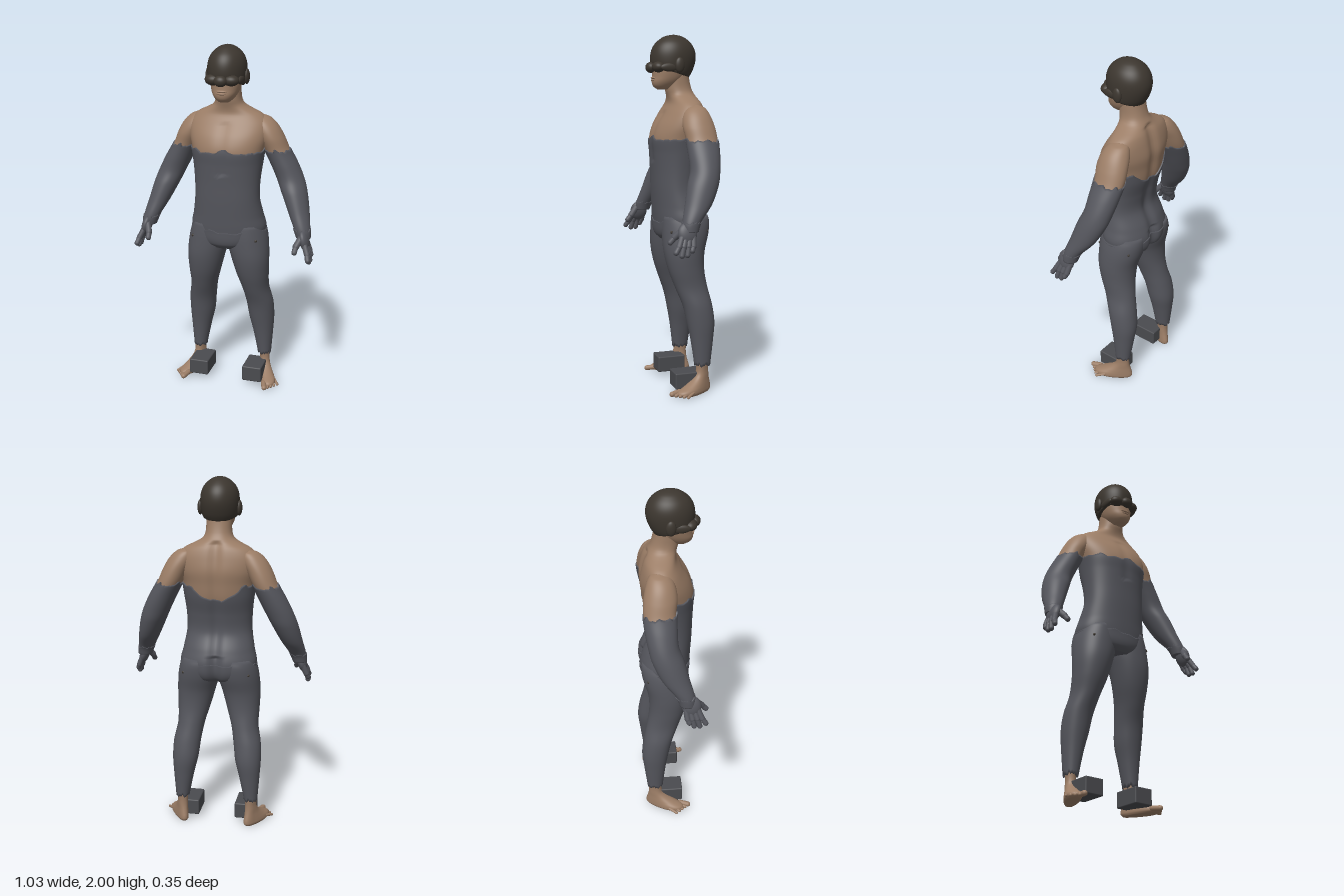
import * as THREE from 'three';
import { RoundedBoxGeometry } from 'three/addons/geometries/RoundedBoxGeometry.js';

const mat = (color) => new THREE.MeshStandardMaterial({ color, roughness: 0.85 });
const skin = mat(0x9b7d66), suit = mat(0x55565d), dark = mat(0x3c362f), iron = mat(0x4a4b4f);

// Horizontal cross-sections: [y, xMin, xMax, zBack, zFront]
const sym = (rows) => rows.map(([y, w, b, f]) => [y, -w, w, b, f]);
const TORSO = sym([
  [0.85, 0.06, -0.09, 0.06], [0.89, 0.17, -0.15, 0.096], [0.97, 0.21, -0.17, 0.106],
  [1.05, 0.196, -0.152, 0.112], [1.15, 0.18, -0.112, 0.118], [1.25, 0.181, -0.122, 0.121],
  [1.35, 0.192, -0.15, 0.126], [1.43, 0.205, -0.16, 0.13], [1.5, 0.222, -0.167, 0.108],
  [1.57, 0.222, -0.156, 0.066], [1.62, 0.185, -0.142, 0.037], [1.645, 0.135, -0.13, 0.035],
  [1.67, 0.09, -0.116, 0.04], [1.7, 0.074, -0.1, 0.048], [1.76, 0.07, -0.085, 0.05], [1.82, 0.07, -0.08, 0.05]]);
const ARM = [
  [0.96, 0.425, 0.485, 0.025, 0.09], [1.01, 0.405, 0.483, 0.004, 0.09], [1.1, 0.357, 0.465, -0.07, 0.065],
  [1.2, 0.308, 0.442, -0.12, 0.038], [1.27, 0.275, 0.418, -0.138, 0.013], [1.35, 0.236, 0.38, -0.152, 0.01],
  [1.43, 0.195, 0.335, -0.16, 0.013], [1.5, 0.16, 0.305, -0.155, 0.022], [1.56, 0.13, 0.27, -0.14, 0.012],
  [1.6, 0.13, 0.228, -0.118, -0.015], [1.615, 0.15, 0.19, -0.09, -0.05]];
const LEG = [
  [0.12, 0.168, 0.236, -0.145, -0.062], [0.16, 0.165, 0.238, -0.147, -0.06], [0.3, 0.137, 0.248, -0.164, -0.042],
  [0.4, 0.113, 0.254, -0.174, -0.023], [0.5, 0.1, 0.25, -0.162, 0], [0.6, 0.082, 0.231, -0.14, 0.038],
  [0.7, 0.052, 0.233, -0.125, 0.073], [0.8, 0.024, 0.236, -0.13, 0.094], [0.9, -0.003, 0.228, -0.158, 0.098],
  [0.97, 0.004, 0.212, -0.165, 0.095], [1.02, 0.02, 0.19, -0.15, 0.09]];
const HEAD = sym([
  [1.7, 0.03, 0.03, 0.095], [1.715, 0.048, -0.01, 0.117], [1.74, 0.066, -0.04, 0.126],
  [1.77, 0.078, -0.065, 0.123], [1.81, 0.086, -0.085, 0.122], [1.87, 0.088, -0.09, 0.12]]);
const CAP = sym([
  [1.76, 0.086, -0.08, 0.118], [1.8, 0.1, -0.104, 0.126], [1.86, 0.107, -0.123, 0.135], [1.91, 0.103, -0.12, 0.129],
  [1.95, 0.086, -0.1, 0.108], [1.98, 0.056, -0.067, 0.073], [1.994, 0.03, -0.037, 0.043], [2, 0.004, -0.004, 0.006]]);
const FOOT = sym([
  [0, 0.036, -0.042, 0.16], [0.012, 0.043, -0.054, 0.178], [0.03, 0.043, -0.055, 0.17], [0.05, 0.04, -0.05, 0.125],
  [0.075, 0.036, -0.043, 0.078], [0.1, 0.034, -0.038, 0.05], [0.13, 0.032, -0.036, 0.04], [0.18, 0.034, -0.038, 0.04]]);

// Smooth interpolation of the cross-sections at height y
function sectionAt(rows, y) {
  let i = 0;
  while (i < rows.length - 2 && y > rows[i + 1][0]) i++;
  const a = rows[i], b = rows[i + 1], p = rows[Math.max(i - 1, 0)], q = rows[Math.min(i + 2, rows.length - 1)];
  const h = b[0] - a[0], t = THREE.MathUtils.clamp((y - a[0]) / h, 0, 1), u = 1 - t;
  return a.map((v, k) => {
    const m0 = (b[k] - p[k]) / (b[0] - p[0]) * h, m1 = (q[k] - v) / (q[0] - a[0]) * h;
    return v * (1 + 2 * t) * u * u + m0 * t * u * u + b[k] * t * t * (3 - 2 * t) - m1 * t * t * u;
  });
}

// Closed skin over the sections, between a lower and an upper edge that may vary with the angle
function loft(name, rows, material, low, high, { grow = 0, n = 2, cols = 72, steps = 48, shape, ease = (t) => t } = {}) {
  const edge = (e, a) => (typeof e === 'number' ? e : e(a));
  const pow = (v) => Math.sign(v) * Math.abs(v) ** (2 / n);
  const pos = [], idx = [], p = new THREE.Vector3();
  for (let j = -1; j <= steps + 1; j++) {
    const end = j < 0 || j > steps, t = ease(THREE.MathUtils.clamp(j / steps, 0, 1));
    for (let i = 0; i < cols; i++) {
      const a = i / cols * Math.PI * 2, y = THREE.MathUtils.lerp(edge(low, a), edge(high, a), t);
      const [, x0, x1, z0, z1] = sectionAt(rows, y);
      const k = end ? 0 : 1;
      p.set((x0 + x1) / 2 + k * ((x1 - x0) / 2 + grow) * pow(Math.cos(a)), y,
        (z0 + z1) / 2 + k * ((z1 - z0) / 2 + grow) * pow(Math.sin(a)));
      if (shape && !end) shape(p, a);
      pos.push(p.x, p.y, p.z);
      if (j > steps) continue;
      const r = (j + 1) * cols, A = r + i, B = r + (i + 1) % cols;
      idx.push(A, A + cols, B, B, A + cols, B + cols);
    }
  }
  const g = new THREE.BufferGeometry();
  g.setAttribute('position', new THREE.Float32BufferAttribute(pos, 3));
  g.setIndex(idx);
  g.computeVertexNormals();
  return named(name, g, material);
}

function named(name, geometry, material, at = [0, 0, 0], scale = [1, 1, 1]) {
  const m = new THREE.Mesh(geometry, material);
  m.name = name;
  m.position.set(...at);
  m.scale.set(...scale);
  return m;
}
const blob = (name, material, at, radii) => named(name, new THREE.SphereGeometry(1, 28, 20), material, at, radii);

// Rounded rod between two points
function rod(name, material, from, to, r) {
  const a = new THREE.Vector3(...from), b = new THREE.Vector3(...to), d = b.clone().sub(a);
  const m = named(name, new THREE.CapsuleGeometry(r, d.length(), 6, 14), material, a.clone().add(b).multiplyScalar(0.5).toArray());
  m.quaternion.setFromUnitVectors(new THREE.Vector3(0, 1, 0), d.normalize());
  return m;
}

// Torn edge around a base height, lowered at the back by dip
const torn = (y, s, dip = 0, size = 0.006) => (a) => y - dip * Math.max(0, -Math.sin(a)) ** 4
  + size * (0.7 * Math.sin(5 * a + s) + 0.5 * Math.sin(13 * a + 2 * s) + 0.7 * Math.tanh(6 * Math.sin(8 * a + 3 * s) - 4));

// Spine furrow, cleft and breastbone
function bodyShape(p) {
  const dent = Math.exp(-((p.x / 0.032) ** 2));
  if (p.z < -0.05 && p.y < 1.66) p.z += dent * (p.y < 1.02 ? 0.032 : 0.016);
  if (p.z > 0.02 && p.y > 1.3 && p.y < 1.58) p.z -= dent * 0.006;
}

function side() {
  const g = new THREE.Group();
  // Arm, sleeve and glove
  g.add(loft('shoulder', ARM, skin, 1.36, 1.615, { ease: (t) => Math.sin(t * Math.PI / 2) }));
  g.add(loft('sleeve', ARM, suit, 0.97, torn(1.43, 1, 0.01), { grow: 0.006 }));
  g.add(loft('gloveCuff', ARM, suit, 0.965, torn(1.015, 2, 0, 0.004), { grow: 0.01, steps: 10 }));
  const palm = blob('palm', suit, [0.464, 0.957, 0.077], [0.027, 0.06, 0.052]);
  palm.rotation.z = 0.25;
  g.add(palm);
  [[0.062, 0.872], [0.088, 0.85], [0.118, 0.848], [0.15, 0.865]].forEach(([z, y], i) => {
    const mid = [0.492, 0.893, 0.053 + 0.026 * i];
    g.add(rod('finger', suit, [0.472, 0.94, 0.046 + 0.021 * i], mid, 0.016));
    g.add(rod('fingertip', suit, mid, [0.5, y, z], 0.0145));
  });
  g.add(rod('thumb', suit, [0.45, 0.975, 0.1], [0.43, 0.935, 0.135], 0.018));
  g.add(rod('thumbTip', suit, [0.43, 0.935, 0.135], [0.426, 0.908, 0.158], 0.015));
  // Trouser leg with rivets
  g.add(loft('trouserLeg', LEG, suit, torn(0.16, 3), 1.0, { grow: 0.003, n: 2.1 }));
  g.add(blob('rivet', dark, [0.185, 0.92, 0.073], [0.008, 0.008, 0.006]));
  g.add(blob('rivet', dark, [0.185, 0.92, -0.134], [0.008, 0.008, 0.006]));
  // Bare foot, turned outwards
  const foot = new THREE.Group();
  foot.name = 'foot';
  foot.position.set(0.202, 0, -0.105);
  foot.rotation.y = 0.45;
  foot.add(loft('footBody', FOOT, skin, 0, 0.18, {
    n: 2.2, shape: (p) => { p.x *= 0.85 + 2 * Math.max(0, p.z); p.z -= Math.max(0, p.z) * p.x * 1.5; } }));
  for (let i = 0; i < 5; i++) {
    const x = -0.038 + 0.02 * i, z = 0.198 - 0.01 * i, r = i ? 0.0105 - 0.0006 * i : 0.015;
    foot.add(rod('toe', skin, [x * 0.9, 0.022, z - 0.05], [x * 1.1, r + 0.001, z], r));
  }
  g.add(foot);
  // Weight block beside the foot
  g.add(named('weightBlock', new RoundedBoxGeometry(0.115, 0.092, 0.165, 2, 0.007), iron, [0.164, 0.074, -0.022]));
  // Ear cover and lens
  g.add(blob('earCover', dark, [0.108, 1.832, 0.0], [0.016, 0.042, 0.027]));
  g.add(blob('lens', dark, [0.05, 1.822, 0.105], [0.045, 0.03, 0.036]));
  g.add(blob('strap', dark, [0.092, 1.82, 0.05], [0.014, 0.024, 0.055]));
  return g;
}

export function createModel() {
  const model = new THREE.Group();
  model.name = 'figure';
  // Trunk and clothing
  model.add(loft('bareTorso', TORSO, skin, 1.28, 1.82, { n: 2.2, cols: 96, shape: bodyShape }));
  model.add(loft('tunic', TORSO, suit, 0.93, torn(1.432, 0.6, 0.085, 0.008), { grow: 0.006, n: 2.2, cols: 120, shape: bodyShape }));
  model.add(loft('trouserTop', TORSO, suit, 0.86, torn(0.967, 4, -0.01, 0.005), { grow: 0.011, n: 2.1, cols: 120, steps: 24, shape: bodyShape }));
  // Head and cap
  model.add(loft('face', HEAD, skin, 1.7, 1.87, { n: 2.2, steps: 30 }));
  model.add(blob('upperLip', skin, [0, 1.763, 0.119], [0.03, 0.007, 0.013]));
  model.add(blob('lowerLip', skin, [0, 1.75, 0.119], [0.026, 0.007, 0.012]));
  model.add(loft('cap', CAP, dark, (a) => 1.79 + 0.025 * Math.sin(a), 2, { ease: (t) => Math.sin(t * Math.PI / 2) }));
  model.add(blob('noseGuard', dark, [0, 1.82, 0.135], [0.037, 0.03, 0.029]));
  // Limbs on both sides
  const left = side(), right = side();
  left.name = 'leftSide';
  right.name = 'rightSide';
  right.scale.x = -1;
  model.add(left, right);
  return model;
}
